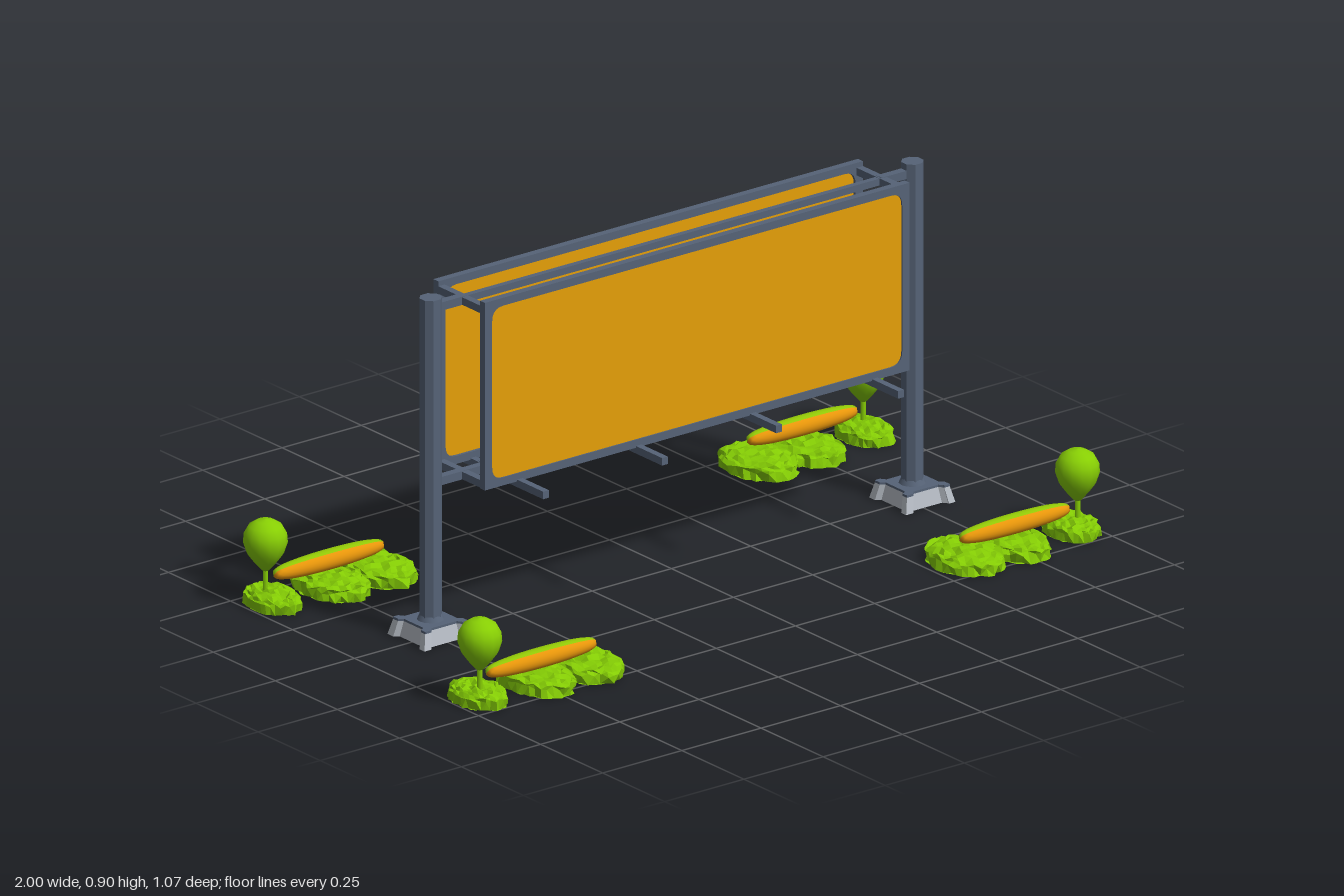
import * as THREE from 'three';

const mat = (name, color, side = THREE.FrontSide, flatShading = false) =>
  Object.assign(new THREE.MeshStandardMaterial({ color, side, flatShading }), { name });

export function createModel() {
  const steel = mat('slate steel', 0x566377);
  const concrete = mat('pale concrete', 0xb8bec6);
  const amber = mat('amber panel', 0xeba308);
  const leaf = mat('leaf green', 0x84cc04, THREE.FrontSide, true);
  const crown = mat('crown green', 0x88cf04);
  const petal = mat('petal orange', 0xe8960a, THREE.DoubleSide);
  const shoot = mat('shoot green', 0x92c806, THREE.DoubleSide);

  const model = new THREE.Group();
  model.name = 'billboard';

  const add = (parent, name, geometry, material, x = 0, y = 0, z = 0) => {
    const mesh = new THREE.Mesh(geometry, material);
    mesh.name = name;
    mesh.position.set(x, y, z);
    parent.add(mesh);
    return mesh;
  };
  const bar = (parent, name, w, h, d, x, y, z) =>
    add(parent, name, new THREE.BoxGeometry(w, h, d), steel, x, y, z);

  // Rounded rectangle used for the panels and the frame openings
  const roundRect = (C, w, h, r) => {
    const p = new C();
    p.moveTo(-w + r, -h);
    p.lineTo(w - r, -h);
    p.quadraticCurveTo(w, -h, w, -h + r);
    p.lineTo(w, h - r);
    p.quadraticCurveTo(w, h, w - r, h);
    p.lineTo(-w + r, h);
    p.quadraticCurveTo(-w, h, -w, h - r);
    p.lineTo(-w, -h + r);
    p.quadraticCurveTo(-w, -h, -w + r, -h);
    return p;
  };
  const extrude = (shape, depth) =>
    new THREE.ExtrudeGeometry(shape, { depth, bevelEnabled: false, curveSegments: 5 })
      .translate(0, 0, -depth / 2);

  // Two back-to-back sign faces with their frames
  const frameShape = new THREE.Shape([[-0.67, -0.25], [0.67, -0.25], [0.67, 0.25], [-0.67, 0.25]]
    .map(([x, y]) => new THREE.Vector2(x, y)));
  frameShape.holes.push(roundRect(THREE.Path, 0.647, 0.229, 0.035));
  const frameGeo = extrude(frameShape, 0.02);
  const panelGeo = extrude(roundRect(THREE.Shape, 0.647, 0.229, 0.035), 0.008);
  for (const s of [1, -1]) {
    add(model, 'signFrame', frameGeo, steel, 0, 0.653, s * 0.094);
    add(model, 'signPanel', panelGeo, amber, 0, 0.653, s * 0.096);
  }

  // Foot with flared corners, tapering upwards
  const footShape = new THREE.Shape();
  footShape.moveTo(0.078, 0.055);
  for (let i = 0; i < 4; i++) {
    const c = Math.round(Math.cos(i * Math.PI / 2)), s = Math.round(Math.sin(i * Math.PI / 2));
    for (const [x, y] of [[0.078, 0.055], [0.078, 0.075], [0.055, 0.075], [0.045, 0.062], [-0.045, 0.062], [-0.055, 0.075]]) {
      footShape.lineTo(x * c - y * s, x * s + y * c);
    }
  }
  const footGeo = new THREE.ExtrudeGeometry(footShape, { depth: 0.041, bevelEnabled: false })
    .rotateX(-Math.PI / 2);
  const fp = footGeo.attributes.position;
  for (let i = 0; i < fp.count; i++) {
    const k = 1 - fp.getY(i) / 0.041 * 0.13;
    fp.setXYZ(i, fp.getX(i) * k, fp.getY(i), fp.getZ(i) * k);
  }
  footGeo.computeVertexNormals();
  const plateGeo = new THREE.ExtrudeGeometry(footShape, { depth: 0.006, bevelEnabled: false })
    .rotateX(-Math.PI / 2).scale(0.87, 1, 0.87);

  // Faceted post with a flat side to the front
  const columnGeo = new THREE.CylinderGeometry(0.029, 0.029, 0.858, 8)
    .rotateY(Math.PI / 8).toNonIndexed();
  columnGeo.computeVertexNormals();

  // Posts, feet and the arms that carry the frames
  for (const s of [1, -1]) {
    const post = new THREE.Group();
    post.name = 'post';
    post.position.x = s * 0.76;
    model.add(post);
    add(post, 'foot', footGeo, concrete, 0, 0.005, 0);
    add(post, 'footPlate', plateGeo, steel, 0, 0.046, 0);
    bar(post, 'footAnchor', 0.055, 0.006, 0.055, 0, 0.006, 0);
    add(post, 'postCollar', new THREE.CylinderGeometry(0.028, 0.035, 0.014, 12), steel, 0, 0.058, 0);
    add(post, 'postColumn', columnGeo, steel, 0, 0.479, 0);
    for (const y of [0.88, 0.415]) {
      bar(model, 'postArm', 0.09, 0.022, 0.022, s * 0.70, y, 0);
      bar(model, 'endCrossbar', 0.02, 0.02, 0.18, s * 0.66, y, 0);
    }
  }
  bar(model, 'upperSpine', 1.32, 0.018, 0.016, 0, 0.88, 0);
  bar(model, 'lowerSpine', 1.32, 0.022, 0.02, 0, 0.415, 0);

  // Service platform under the sign
  for (const z of [-0.05, 0.05]) bar(model, 'platformRail', 1.13, 0.014, 0.012, 0, 0.402, z);
  for (const x of [-0.56, -0.185, 0.175, 0.56]) {
    bar(model, 'platformCrossbar', 0.018, 0.02, 0.42, x, 0.398, 0);
  }

  // Ragged, flat-bottomed bush
  const bushGeo = (rx, rz, seed) => {
    const g = new THREE.IcosahedronGeometry(1, 5);
    const p = g.attributes.position;
    const hash = (x, y, z, n) => {
      const v = Math.sin(Math.round(x * 500) * 12.9 + Math.round(y * 500) * 78.2
        + Math.round(z * 500) * 37.7 + n * 5.3 + seed) * 43758.5;
      return v - Math.floor(v);
    };
    for (let i = 0; i < p.count; i++) {
      const x = p.getX(i), y = p.getY(i), z = p.getZ(i);
      const out = 0.88 + 0.16 * hash(x, y, z, 1);
      const up = y > 0.01 ? 0.044 * Math.pow(y, 0.3) * (0.76 + 0.3 * hash(x, y, z, 2)) : 0;
      p.setXYZ(i, x * rx * out, up, z * rz * out);
    }
    g.computeVertexNormals();
    return g;
  };

  // Four planting beds, one at each corner
  const crownGeo = new THREE.LatheGeometry([
    [0, 0.088], [0.01, 0.094], [0.03, 0.117], [0.047, 0.14], [0.056, 0.168],
    [0.054, 0.192], [0.043, 0.212], [0.023, 0.225], [0, 0.229],
  ].map(([r, y]) => new THREE.Vector2(r, y)), 14);
  const halfPod = start => new THREE.SphereGeometry(1, 16, 14, start, Math.PI);
  let seed = 1;
  for (const sx of [1, -1]) for (const sz of [1, -1]) {
    const bed = new THREE.Group();
    bed.name = 'plantingBed';
    bed.position.z = sz * 0.425;
    model.add(bed);
    for (const [x, rx, rz] of [[0.935, 0.065, 0.09], [0.75, 0.085, 0.12], [0.6, 0.088, 0.12]]) {
      add(bed, 'bush', bushGeo(rx, rz, seed++), leaf, sx * x, 0.004, -sz * 0.01);
    }
    add(bed, 'treeTrunk', new THREE.CylinderGeometry(0.007, 0.007, 0.085, 7), crown, sx * 0.943, 0.07, sz * 0.007);
    add(bed, 'treeCrown', crownGeo, crown, sx * 0.943, 0, sz * 0.007);

    // Flower hedge: blossom on the front and underside, shoots on the upper rear
    for (const [name, start, m] of [['hedgeBlossom', 0, petal], ['hedgeShoots', Math.PI, shoot]]) {
      const half = halfPod(start).rotateX(0.6);
      const p = half.attributes.position;
      for (let i = 0; i < p.count; i++) {
        const x = p.getX(i), blunt = Math.pow(Math.max(0.01, 1 - x * x), -0.22);
        p.setXYZ(i, x * 0.172, p.getY(i) * 0.026 * blunt, p.getZ(i) * 0.027 * blunt);
      }
      half.computeVertexNormals();
      add(bed, name, half, m, sx * 0.747, 0.076, sz * 0.003);
    }
  }
  return model;
}
